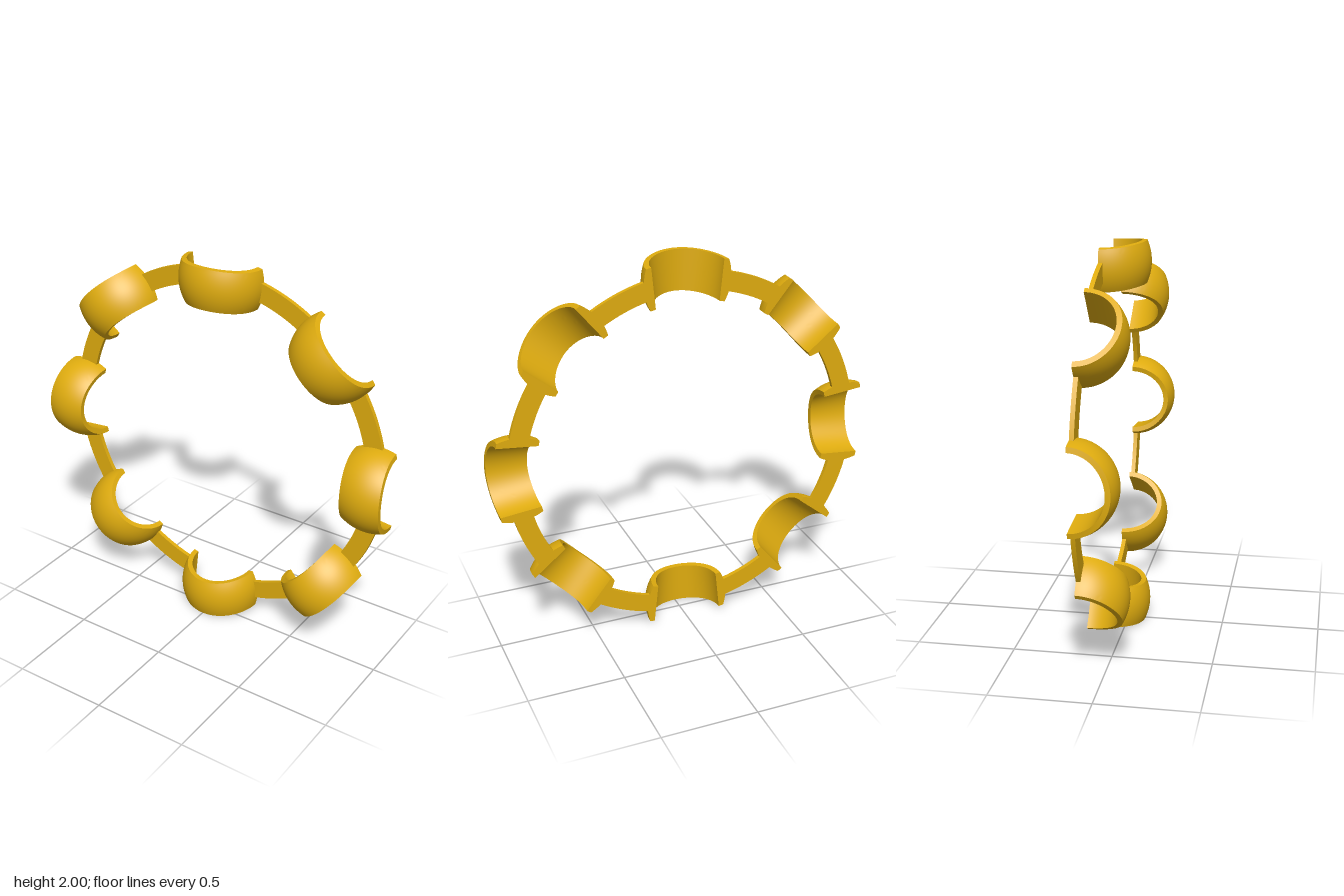
import * as THREE from 'three';
import { toCreasedNormals } from 'three/addons/utils/BufferGeometryUtils.js';

const BACK = -0.112;   // flat back plane
const MID = 0.893;     // radius of the ring's centre line
const HALF = 0.105;    // half width of a bead across the ring

// Half-barrel bead: a crescent profile swept through 180 degrees and bent around the ring
function beadGeometry() {
  const N = 14, SEG = 48, profile = [];
  for (let j = 0; j <= N; j++) {
    const v = -1 + 2 * j / N;
    profile.push([v, 0.202 + 0.022 * (1 - v * v)]);
  }
  for (let j = N; j >= 0; j--) profile.push([-1 + 2 * j / N, 0.176]);

  const K = profile.length, pos = [], index = [];
  for (let i = 0; i <= SEG; i++) {
    const a = Math.PI * i / SEG;
    for (const [v, r] of profile) {
      const x = (r + 0.011 * v) * Math.cos(a);
      const ring = MID + 0.002 + HALF * v;
      pos.push(x, Math.sqrt(ring * ring - x * x), BACK + r * Math.sin(a));
    }
  }
  for (let i = 0; i < SEG; i++) {
    for (let k = 0; k < K; k++) {
      const k2 = (k + 1) % K;
      const a = i * K + k, b = i * K + k2, c = a + K, d = b + K;
      index.push(a, b, c, b, d, c);
    }
  }
  // flat feet at both ends of the sweep
  const last = SEG * K;
  for (let j = 0; j < N; j++) {
    const o = j, o2 = j + 1, n = K - 1 - j, n2 = K - 2 - j;
    index.push(o, n, o2, o2, n, n2);
    index.push(last + o, last + o2, last + n, last + o2, last + n2, last + n);
  }
  const g = new THREE.BufferGeometry();
  g.setAttribute('position', new THREE.Float32BufferAttribute(pos, 3));
  g.setIndex(index);
  return toCreasedNormals(g, 0.6);
}

// Thin flat arc joining two beads
function linkGeometry() {
  const a0 = THREE.MathUtils.degToRad(13), a1 = Math.PI / 4 - a0;
  const shape = new THREE.Shape();
  shape.absarc(0, 0, 0.94, a0, a1, false);
  shape.absarc(0, 0, 0.842, a1, a0, true);
  const g = new THREE.ExtrudeGeometry(shape, { depth: 0.022, bevelEnabled: false, curveSegments: 16 });
  g.translate(0, 0, BACK);
  return toCreasedNormals(g, 0.6);
}

export function createModel() {
  const model = new THREE.Group();
  model.name = 'beadedRing';
  const gold = new THREE.MeshStandardMaterial({ color: 0xdfac0f });
  gold.name = 'gold';

  const bead = beadGeometry(), link = linkGeometry();
  for (let i = 0; i < 8; i++) {
    for (const [name, geometry] of [['bead', bead], ['link', link]]) {
      const mesh = new THREE.Mesh(geometry, gold);
      mesh.name = name + (i + 1);
      mesh.position.y = 1;
      mesh.rotation.z = i * Math.PI / 4;
      model.add(mesh);
    }
  }
  return model;
}
